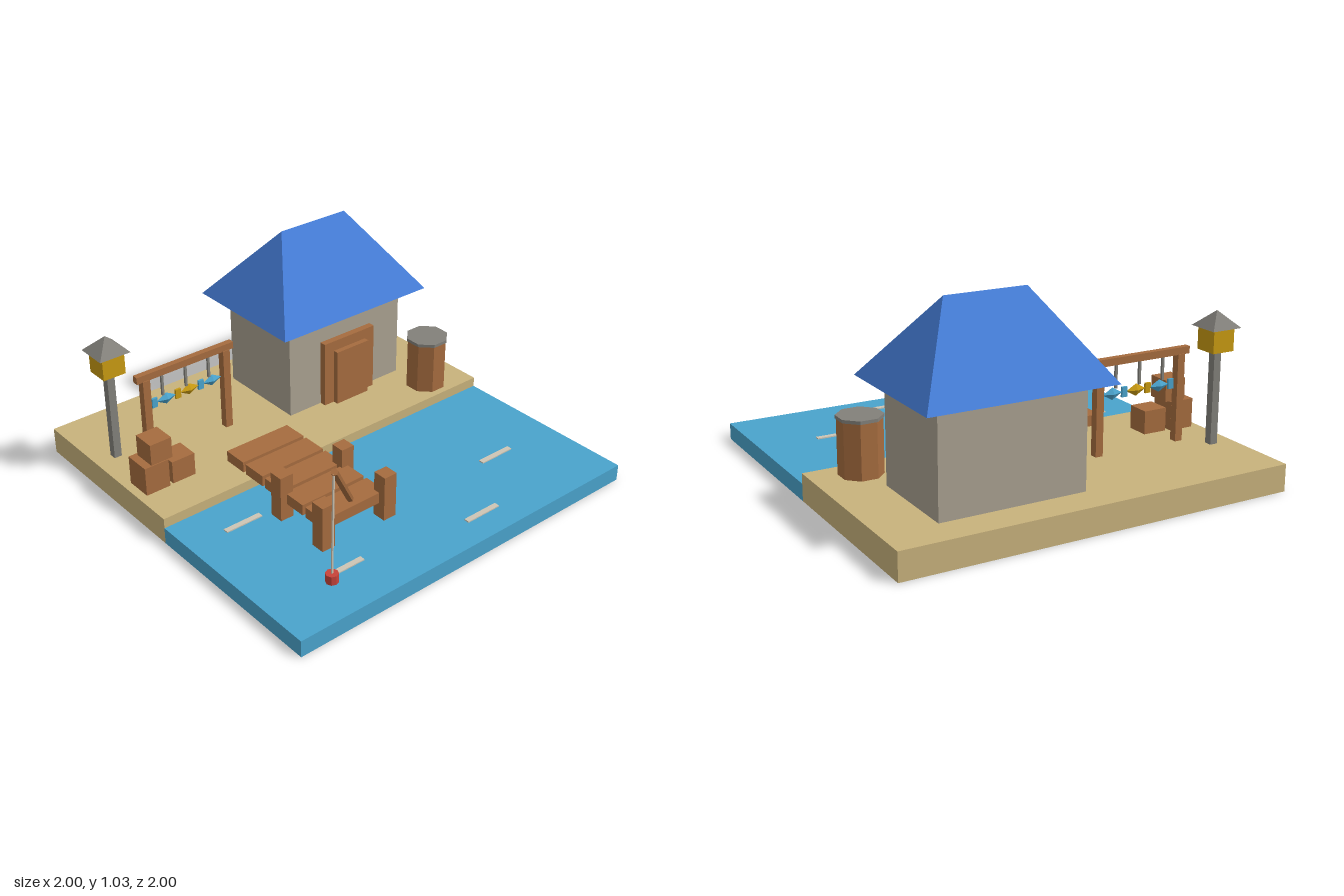
import * as THREE from 'three';
import { ConvexGeometry } from 'three/addons/geometries/ConvexGeometry.js';

export function createModel() {
  const root = new THREE.Group();
  root.name = 'fishingDock';

  const mat = (name, color, side = THREE.FrontSide) => {
    const m = new THREE.MeshStandardMaterial({ color, flatShading: true, side });
    m.name = name;
    return m;
  };
  const sand = mat('sand', 0xc8b27c, THREE.DoubleSide);
  const water = mat('water', 0x4aa3cc, THREE.DoubleSide);
  const wood = mat('wood', 0xa66c3f);
  const stone = mat('stone', 0xa9a190);
  const roofBlue = mat('roofBlue', 0x447bd4);
  const grey = mat('grey', 0x82807a);
  const yellow = mat('yellow', 0xc89a12);
  const red = mat('red', 0xc8433a);
  const foam = mat('foam', 0xcdc5b4);

  const group = (name) => {
    const g = new THREE.Group();
    g.name = name;
    root.add(g);
    return g;
  };
  const add = (parent, name, geometry, material, x = 0, y = 0, z = 0) => {
    const m = new THREE.Mesh(geometry, material);
    m.name = name;
    m.position.set(x, y, z);
    parent.add(m);
    return m;
  };
  // Box given by its extents along each axis
  const box = (parent, name, material, [x0, x1], [y0, y1], [z0, z1]) =>
    add(parent, name, new THREE.BoxGeometry(x1 - x0, y1 - y0, z1 - z0), material,
      (x0 + x1) / 2, (y0 + y1) / 2, (z0 + z1) / 2);
  // Straight rod between two points
  const rod = (parent, name, material, a, b, r, sides = 6) => {
    const p = new THREE.Vector3(...a), q = new THREE.Vector3(...b);
    const d = q.clone().sub(p);
    const m = add(parent, name, new THREE.CylinderGeometry(r, r, d.length(), sides), material);
    m.position.copy(p).add(q).multiplyScalar(0.5);
    m.quaternion.setFromUnitVectors(new THREE.Vector3(0, 1, 0), d.normalize());
    return m;
  };
  const around = (c, half) => [c - half, c + half];
  // Drops chosen box sides (order: +x, -x, +y, -y, +z, -z)
  const openSides = (mesh, sides) => {
    const idx = Array.from(mesh.geometry.index.array);
    mesh.geometry.setIndex(idx.filter((_, i) => !sides.includes(Math.floor(i / 6))));
    mesh.geometry.clearGroups();
  };

  // Ground slabs, open underneath
  const LAND = 0.136, SEA = 0.085;
  const base = group('base');
  openSides(box(base, 'land', sand, [-1, 1], [0, LAND], [-1, 0]), [3]);
  openSides(box(base, 'sea', water, [-1, 1], [0, SEA], [0, 1]), [3, 5]);
  for (const [x, z] of [[-0.7, 0.2], [0.6, 0.55], [0.2, 0.85], [-0.55, 0.75]])
    box(base, 'ripple', foam, around(x, 0.1), [SEA, SEA + 0.006], around(z, 0.014));

  // House with hipped roof and door
  const house = group('house');
  box(house, 'walls', stone, [0, 0.73], [LAND, 0.64], [-0.83, -0.33]);
  const roofPoints = [];
  for (const x of [-0.1, 0.83]) for (const z of [-0.935, -0.235])
    roofPoints.push(new THREE.Vector3(x, 0.64, z));
  for (const x of [0.16, 0.57]) roofPoints.push(new THREE.Vector3(x, 1.035, -0.585));
  add(house, 'roof', new ConvexGeometry(roofPoints), roofBlue);
  box(house, 'doorFrame', wood, [0.2, 0.53], [LAND, 0.495], [-0.33, -0.295]);
  box(house, 'door', wood, [0.26, 0.47], [LAND, 0.44], [-0.295, -0.267]);

  // Eight-sided barrel
  const barrel = group('barrel');
  const staves = add(barrel, 'barrelBody', new THREE.CylinderGeometry(0.107, 0.107, 0.27, 8), wood, 0.765, 0.271, -0.135);
  const lid = add(barrel, 'barrelLid', new THREE.CylinderGeometry(0.112, 0.112, 0.016, 8), grey, 0.765, 0.413, -0.135);
  staves.rotation.y = lid.rotation.y = Math.PI / 8;

  // Pier of planks and posts
  const pier = group('pier');
  for (let i = 0; i < 5; i++)
    box(pier, 'plank', wood, [-0.52, -0.153], [0.166, 0.222], around(-0.1 + i * 0.15, 0.065));
  for (const x of [-0.52, -0.153]) for (const z of [0.265, 0.565])
    box(pier, 'pierPost', wood, around(x, 0.036), [SEA, 0.32], around(z, 0.036));

  // Fishing rod, line and float
  const fishing = group('fishingRod');
  rod(fishing, 'pole', wood, [-0.335, 0.238, 0.53], [-0.628, 0.637, 0.768], 0.017);
  rod(fishing, 'line', foam, [-0.632, 0.63, 0.768], [-0.655, 0.13, 0.785], 0.006);
  add(fishing, 'float', new THREE.CylinderGeometry(0.031, 0.031, 0.052, 8), red, -0.655, 0.105, 0.785);

  // Drying rack with hanging fish
  const rack = group('dryingRack');
  for (const x of [-0.765, -0.3])
    box(rack, 'rackPost', wood, around(x, 0.02), [LAND, 0.575], around(-0.47, 0.02));
  box(rack, 'rackBeam', wood, [-0.815, -0.255], [0.572, 0.608], around(-0.47, 0.016));
  [water, yellow, water].forEach((color, i) => {
    const x = -0.65 + i * 0.135;
    box(rack, 'hook', grey, around(x - 0.018, 0.006), [0.455, 0.572], around(-0.47, 0.006));
    const body = add(rack, 'fishBody', new THREE.OctahedronGeometry(1), color, x, 0.43, -0.47);
    body.scale.set(0.055, 0.031, 0.018);
    box(rack, 'fishTail', color, around(x - 0.068, 0.015), [0.405, 0.455], around(-0.47, 0.006));
  });

  // Lantern on a post
  const lantern = group('lantern');
  const lx = -0.884, lz = -0.593;
  box(lantern, 'lanternPost', grey, around(lx, 0.02), [LAND, 0.605], around(lz, 0.02));
  box(lantern, 'lamp', yellow, around(lx, 0.06), [0.605, 0.72], around(lz, 0.06));
  const cap = add(lantern, 'lanternCap', new THREE.ConeGeometry(0.083 * Math.SQRT2, 0.08, 4), grey, lx, 0.76, lz);
  cap.rotation.y = Math.PI / 4;

  // Stacked crates
  const crates = group('crates');
  box(crates, 'largeCrate', wood, [-0.957, -0.826], [LAND, 0.285], [-0.345, -0.205]);
  box(crates, 'topCrate', wood, [-0.917, -0.8], [0.285, 0.395], [-0.33, -0.21]);
  box(crates, 'smallCrate', wood, [-0.805, -0.678], [LAND, 0.255], [-0.33, -0.21]);

  return root;
}
